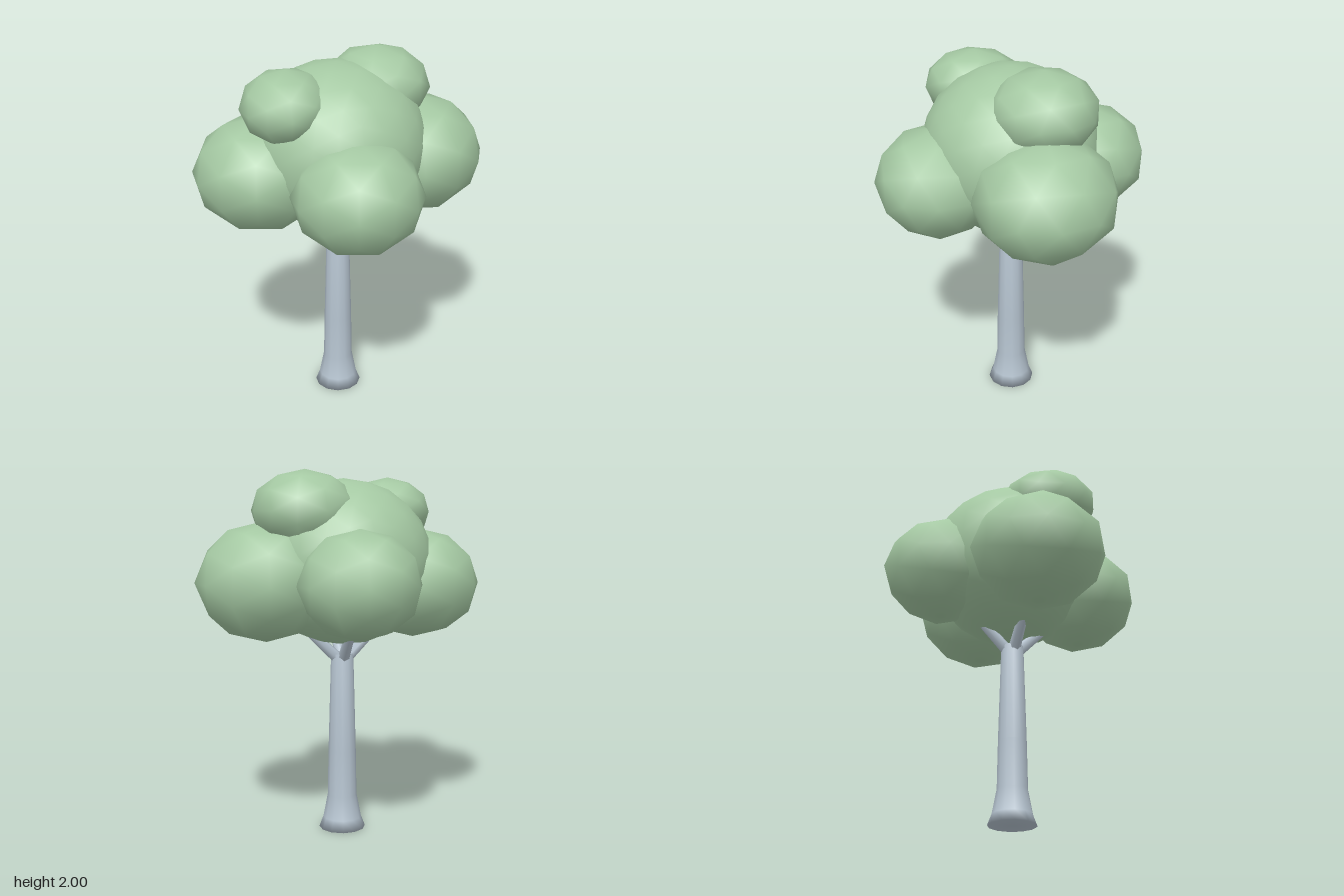
import * as THREE from 'three';

const leafMaterial = new THREE.MeshStandardMaterial({ color: 0xa5c9a3 });
leafMaterial.name = 'leafGreen';
const barkMaterial = new THREE.MeshStandardMaterial({ color: 0xb6c4d0 });
barkMaterial.name = 'paleBark';

const TRUNK_X = -0.013;

// Squashed faceted ball with smooth normals
function leafClump(name, center, radii, detail, turn) {
  const geometry = new THREE.IcosahedronGeometry(1, detail);
  geometry.rotateY(turn);
  geometry.scale(...radii);
  const mesh = new THREE.Mesh(geometry, leafMaterial);
  mesh.name = name;
  mesh.position.set(...center);
  return mesh;
}

// Tapered limb between two points
function limb(name, from, to, r0, r1) {
  const a = new THREE.Vector3(...from);
  const b = new THREE.Vector3(...to);
  const dir = b.clone().sub(a);
  const mesh = new THREE.Mesh(new THREE.CylinderGeometry(r1, r0, dir.length(), 6), barkMaterial);
  mesh.name = name;
  mesh.position.copy(a).add(b).multiplyScalar(0.5);
  mesh.quaternion.setFromUnitVectors(new THREE.Vector3(0, 1, 0), dir.normalize());
  return mesh;
}

export function createModel() {
  const tree = new THREE.Group();
  tree.name = 'tree';

  // Trunk with flared foot, closed at both ends
  const profile = [[0, 0], [0.13, 0], [0.107, 0.06], [0.082, 0.19], [0.077, 0.45], [0.062, 1.0], [0, 1.0]]
    .map(([r, y]) => new THREE.Vector2(r, y));
  const trunk = new THREE.Mesh(new THREE.LatheGeometry(profile, 12), barkMaterial);
  trunk.name = 'trunk';
  trunk.position.x = TRUNK_X;
  tree.add(trunk);

  // Branches fanning out into the crown
  const branches = new THREE.Group();
  branches.name = 'branches';
  [[-0.36, 1.3, 0.08], [0.34, 1.3, -0.12], [0.07, 1.3, 0.34], [-0.08, 1.3, -0.34]].forEach((tip, i) => {
    branches.add(limb('branch' + (i + 1), [TRUNK_X + tip[0] * 0.06, 0.97, tip[2] * 0.06], tip, 0.034, 0.02));
  });
  tree.add(branches);

  // Crown: one large ball ringed by four, with two on top
  const crown = new THREE.Group();
  crown.name = 'crown';
  crown.add(
    leafClump('crownCore', [-0.02, 1.505, 0], [0.485, 0.45, 0.475], 3, 0.3),
    leafClump('rightClump', [-0.415, 1.385, 0.09], [0.365, 0.305, 0.365], 1, 0),
    leafClump('leftClump', [0.4, 1.41, -0.14], [0.375, 0.322, 0.375], 1, 0.1),
    leafClump('frontClump', [0.085, 1.375, 0.39], [0.342, 0.297, 0.332], 1, 0),
    leafClump('backClump', [-0.08, 1.415, -0.405], [0.325, 0.287, 0.325], 1, 0.1),
    leafClump('topLeftClump', [0.19, 1.785, -0.145], [0.288, 0.215, 0.288], 1, 0.4),
    leafClump('topRightClump', [-0.275, 1.775, 0.175], [0.235, 0.188, 0.268], 1, 0.2),
  );
  tree.add(crown);

  return tree;
}
